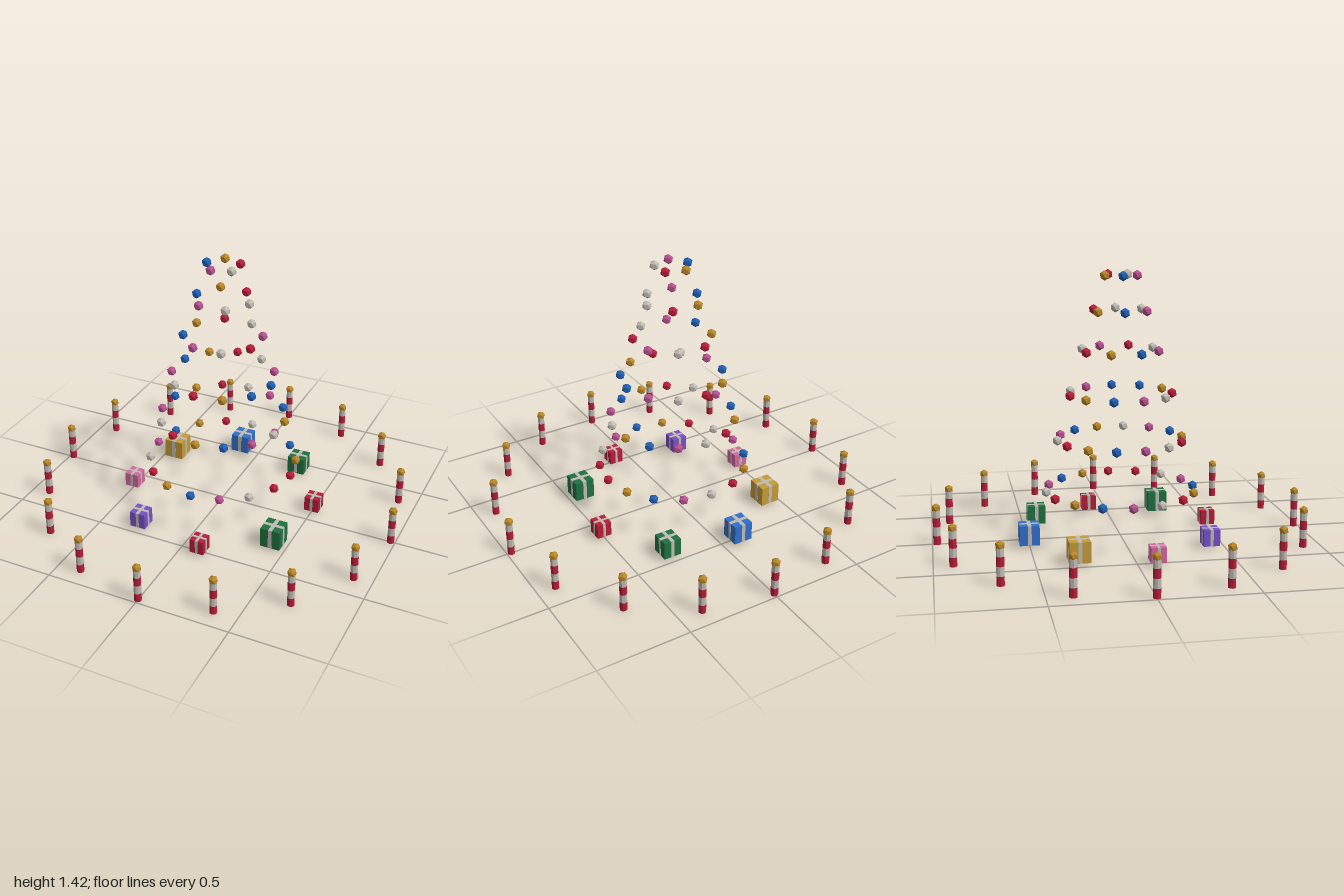
import * as THREE from 'three';

const paint = (name, color) => {
  const m = new THREE.MeshStandardMaterial({ color });
  m.name = name;
  m.flatShading = true;
  return m;
};

export function createModel() {
  const red = paint('red', 0xb81c38);
  const gold = paint('gold', 0xb88626);
  const blue = paint('blue', 0x1f5fb5);
  const pink = paint('pink', 0xb85090);
  const silver = paint('silver', 0xc0bcb4);
  const green = paint('green', 0x1f7040);
  const purple = paint('purple', 0x7a4fcc);
  const rose = paint('rose', 0xd468a0);
  const amber = paint('amber', 0xc69a36);
  const sky = paint('sky blue', 0x2f70cc);

  const model = new THREE.Group();
  model.name = 'holidayDisplay';

  const group = (name, parent = model) => {
    const g = new THREE.Group();
    g.name = name;
    parent.add(g);
    return g;
  };
  const add = (parent, name, geometry, material, x = 0, y = 0, z = 0) => {
    const mesh = new THREE.Mesh(geometry, material);
    mesh.name = name;
    mesh.position.set(x, y, z);
    parent.add(mesh);
    return mesh;
  };

  // Faceted ball with a corner pointing straight up
  const ball = (r) => new THREE.IcosahedronGeometry(r, 0).rotateZ(-Math.atan(2 / (1 + Math.sqrt(5))));

  // Bauble rings: [height, radius, count], every second ring turned half a step
  const ornaments = group('ornaments');
  const baubleColors = [red, gold, blue, pink, silver];
  const bauble = ball(0.027);
  const rings = [
    [0.256, 0.398, 16], [0.532, 0.335, 14], [0.776, 0.274, 11],
    [1.006, 0.206, 8], [1.214, 0.148, 6], [1.397, 0.09, 5],
  ];
  rings.forEach(([y, r, n], layer) => {
    const ring = group('ornamentRing', ornaments);
    for (let i = 0; i < n; i++) {
      const a = ((i + (layer % 2) / 2) / n) * Math.PI * 2;
      add(ring, 'ornament', bauble, baubleColors[(i + layer) % 5], r * Math.cos(a), y, -r * Math.sin(a));
    }
  });

  // Wrapped gifts: [material, size]
  const gifts = group('gifts');
  const wraps = [
    [red, 0.08], [green, 0.097], [sky, 0.104], [amber, 0.109],
    [rose, 0.079], [purple, 0.087], [red, 0.077], [green, 0.109],
  ];
  wraps.forEach(([material, s], i) => {
    const a = 0.2 + (i * Math.PI) / 4;
    const gift = group('gift', gifts);
    gift.position.set(0.512 * Math.cos(a), 0.013, -0.512 * Math.sin(a));
    add(gift, 'giftBox', new THREE.BoxGeometry(s, s, s), material, 0, s / 2, 0);
    // Two crossing ribbon bands, flush with the underside
    const w = s * 0.19, t = s * 1.02;
    add(gift, 'ribbon', new THREE.BoxGeometry(t, s, w), silver, 0, s / 2 + 0.001, 0);
    add(gift, 'ribbon', new THREE.BoxGeometry(w, s, t), silver, 0, s / 2 + 0.0012, 0);
  });

  // Outer circle of striped posts with gold caps
  const posts = group('stripedPosts');
  const band = new THREE.CylinderGeometry(0.0195, 0.0195, 0.048, 8);
  const cap = ball(0.025);
  for (let i = 0; i < 16; i++) {
    const a = (i * Math.PI) / 8;
    const post = group('stripedPost', posts);
    post.position.set(0.976 * Math.cos(a), 0, -0.976 * Math.sin(a));
    for (let k = 0; k < 4; k++) add(post, 'stripe', band, k % 2 ? silver : red, 0, 0.024 + k * 0.048, 0);
    add(post, 'postCap', cap, gold, 0, 0.196, 0);
  }
  return model;
}
